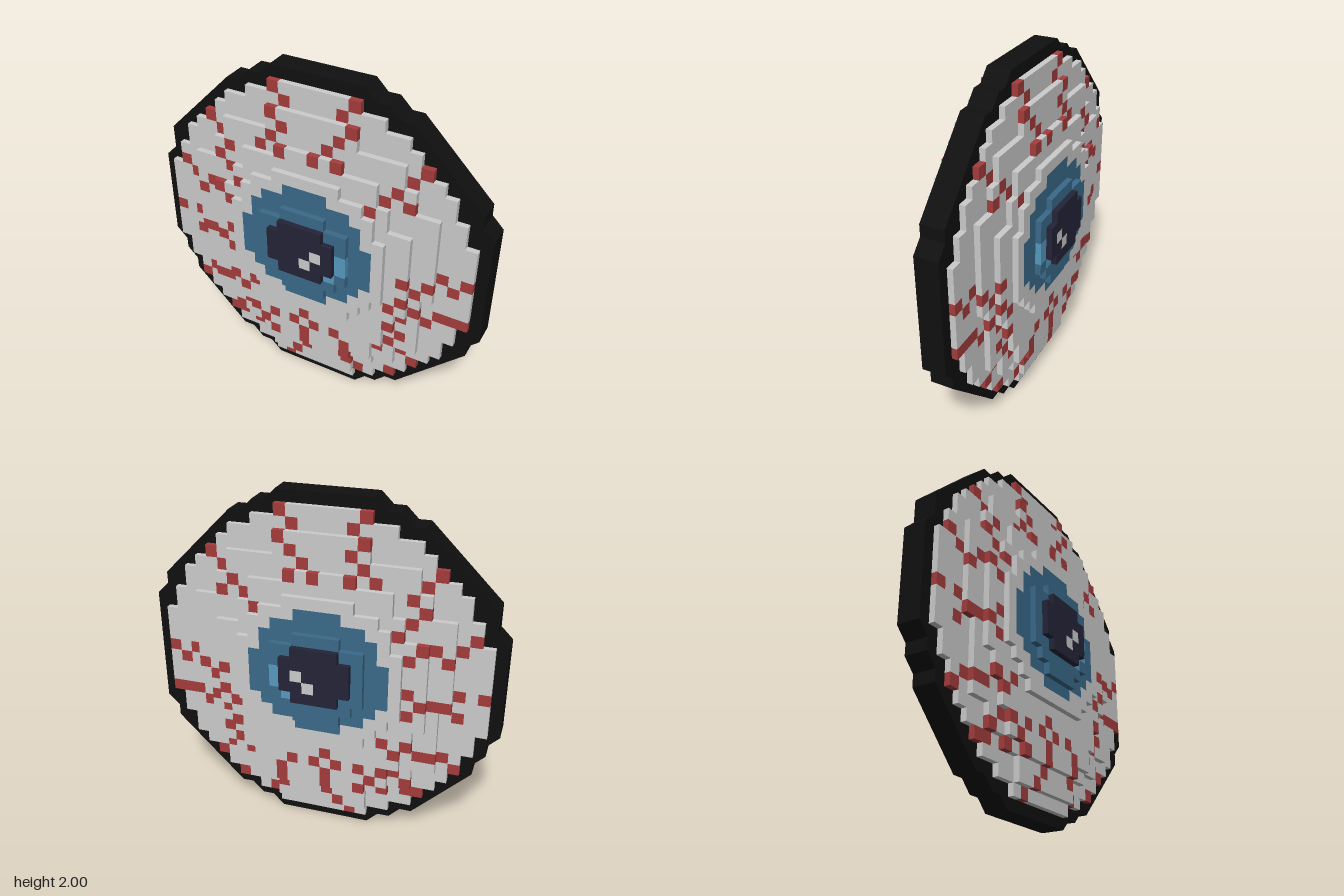
import * as THREE from 'three';

const S = 1 / 15; // size of one block

// Each band is [from row, to row, half width], in blocks.
const terraces = [
  // outer step
  [[1, 2, 4], [2, 3, 6], [3, 4, 8], [4, 5, 9], [5, 6, 10], [6, 7, 11], [7, 9, 12], [9, 11, 13], [11, 19, 14],
    [19, 21, 13], [21, 23, 12], [23, 24, 11], [24, 25, 10], [25, 26, 9], [26, 27, 8], [27, 28, 6], [28, 29, 4]],
  // second step
  [[2, 4, 4], [4, 5, 6], [5, 7, 8], [7, 13, 10], [13, 21, 11], [21, 23, 9], [23, 25, 8], [25, 27, 4]],
  // third step
  [[4, 5, 4], [5, 7, 6], [7, 9, 7], [9, 11, 8], [11, 19, 9], [19, 21, 7], [21, 23, 6], [23, 24, 3]],
  // fourth step
  [[9, 10, 4], [10, 11, 5], [11, 12, 6], [12, 18, 7], [18, 20, 6], [20, 21, 5], [21, 22, 3]],
  // raised iris
  [[11, 12, 2], [12, 13, 3], [13, 18, 4], [18, 19, 2]],
  // pupil
  [[13, 14, 2], [14, 17, 3], [17, 18, 2]],
];
const irisBands = [[10, 11, 2], [11, 12, 4], [12, 13, 5], [13, 17, 6], [17, 19, 5], [19, 20, 4], [20, 21, 2]];

// Red blocks: row -> columns
const veinRows = {
  28: [-4, 3], 27: [-3, 2], 26: [-4, 3], 25: [-3, 2], 24: [-10, -4, 1, 9], 23: [-9, -5, -3, 0, 2, 8],
  22: [-8, 7], 21: [-9, 6, 8], 20: [-8, 5], 19: [-13, -7], 18: [-12, -10, -9], 17: [-11, -8], 15: [11, 13],
  14: [-14, -12, -8, 8, 10, 12], 13: [-11, -10, -9, 9], 12: [-12, -8, 8], 11: [7, 9, 11, 12, 13], 10: [8, 10],
  9: [-8, -6, 7], 8: [-11, -10, -9, -7, 8], 7: [-12, -1, 7], 6: [-7, -6, -4, -2, 0, 2, 6, 8],
  5: [-8, -5, -1, 3, 9], 4: [-9, -8, -6, -4, -1, 3], 3: [-1, 3, 7], 2: [-2, 4], 1: [-3],
};
const pupilGlints = ['1,15', '0,14'];
const irisGlints = ['3,14', '3,15', '2,13'];

const colors = {
  eyeball: 0xcccccc, veins: 0xa43c3c, iris: 0x3a6a8a, irisGlint: 0x5699c0, pupil: 0x242438, pupilGlint: 0xcccccc,
};

const inside = (bands, u, v) => bands.some(([a, b, w]) => v >= a && v < b && u >= -w && u < w);

// Half thickness of the eye at a block
function height(u, v) {
  let level = 0;
  terraces.forEach((bands, i) => { if (inside(bands, u, v)) level = i + 1; });
  return (level / 2 + 1) * S;
}

function partAt(u, v) {
  const key = `${u},${v}`;
  if (pupilGlints.includes(key)) return 'pupilGlint';
  if (irisGlints.includes(key)) return 'irisGlint';
  if (inside(terraces[5], u, v)) return 'pupil';
  if (inside(irisBands, u, v)) return 'iris';
  return veinRows[v]?.includes(u) ? 'veins' : 'eyeball';
}

// Adds a quad and its mirror image on the back
function addQuad(list, a, b, c, d) {
  for (const p of [a, b, c, a, c, d]) list.push(...p);
  for (const [x, y, z] of [a, c, b, a, d, c]) list.push(x, y, -z);
}

function addBlock(list, u, v) {
  const h = height(u, v);
  const corners = [[u, v], [u + 1, v], [u + 1, v + 1], [u, v + 1]].map(([x, y]) => [x * S, y * S]);
  addQuad(list, ...corners.map((p) => [...p, h]));
  // walls down to lower neighbours
  [[0, -1], [1, 0], [0, 1], [-1, 0]].forEach(([du, dv], i) => {
    const low = height(u + du, v + dv);
    if (low >= h) return;
    const p = corners[i], q = corners[(i + 1) % 4];
    addQuad(list, [...p, low], [...q, low], [...q, h], [...p, h]);
  });
}

// Dark rim with chamfered corners and a stepped opening
function createRim() {
  const outline = [
    [4, 0], [5, 1], [6, 1], [7, 2], [8, 2], [14, 8], [14, 9], [15, 10], [15, 20], [14, 21], [14, 22], [8, 28], [7, 28],
    [6, 29], [5, 29], [4, 30], [-4, 30], [-5, 29], [-6, 29], [-7, 28], [-8, 28], [-14, 22], [-14, 20], [-15, 19],
    [-15, 11], [-14, 10], [-14, 9], [-13, 8], [-13, 7], [-8, 2], [-7, 2], [-6, 1], [-5, 1], [-4, 0],
  ];
  const toPoints = (list) => list.map(([x, y]) => new THREE.Vector2(x * S, y * S));
  const right = terraces[0].flatMap(([a, b, w]) => [[w, a], [w, b]]);
  const left = right.map(([x, y]) => [-x, y]).reverse();
  const shape = new THREE.Shape(toPoints(outline));
  shape.holes.push(new THREE.Path(toPoints([...right, ...left])));
  const geometry = new THREE.ExtrudeGeometry(shape, { depth: 2 * S, bevelEnabled: false });
  geometry.translate(0, 0, -S);
  const rim = new THREE.Mesh(geometry, new THREE.MeshStandardMaterial({ color: 0x101010 }));
  rim.name = 'rim';
  return rim;
}

export function createModel() {
  const group = new THREE.Group();
  group.name = 'blockEye';
  group.add(createRim());

  // Sort the blocks by part, then make one mesh for each
  const parts = {};
  for (let v = 1; v < 29; v++) {
    for (let u = -14; u < 14; u++) {
      if (inside(terraces[0], u, v)) addBlock(parts[partAt(u, v)] ??= [], u, v);
    }
  }
  for (const [name, positions] of Object.entries(parts)) {
    const geometry = new THREE.BufferGeometry();
    geometry.setAttribute('position', new THREE.Float32BufferAttribute(positions, 3));
    geometry.computeVertexNormals();
    const mesh = new THREE.Mesh(geometry, new THREE.MeshStandardMaterial({ color: colors[name] }));
    mesh.name = name;
    group.add(mesh);
  }
  return group;
}
